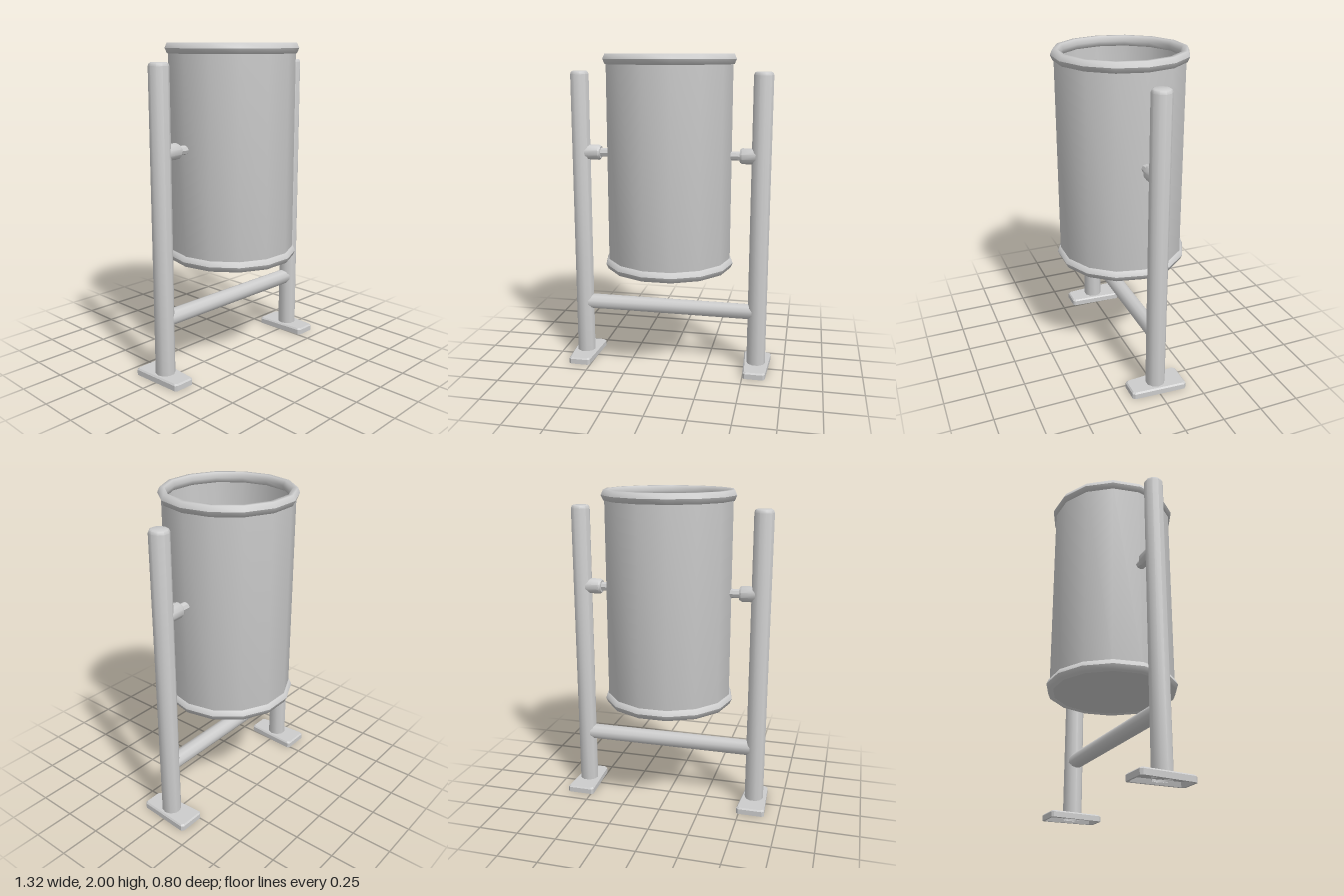
import * as THREE from 'three';
import { toCreasedNormals } from 'three/addons/utils/BufferGeometryUtils.js';

const POST_X = 0.573;

export function createModel() {
  const model = new THREE.Group();
  const grey = new THREE.MeshStandardMaterial({ color: 0xcccccc });
  const greyDouble = new THREE.MeshStandardMaterial({ color: 0xcccccc, side: THREE.DoubleSide });

  function add(name, geometry, material = grey) {
    const mesh = new THREE.Mesh(geometry, material);
    mesh.name = name;
    model.add(mesh);
    return mesh;
  }

  // Turned part with a corner on the x axis, edges sharper than 40 degrees kept
  function turned(profile, sides) {
    const points = profile.map(([r, y]) => new THREE.Vector2(r, y));
    return toCreasedNormals(new THREE.LatheGeometry(points, sides, Math.PI / 2), 0.7);
  }

  // Bucket shell: outer wall, inner wall and floor
  add('bucket', turned([
    [0, 0.677], [0.385, 0.677], [0.39, 0.70], [0.39, 1.97],
    [0.37, 1.97], [0.37, 0.70], [0, 0.70],
  ], 14), greyDouble);

  // Rolled rims with a six-sided section
  for (const [name, y] of [['topRim', 1.969], ['bottomRim', 0.705]]) {
    const profile = [];
    for (let i = 0; i <= 6; i++) {
      const a = (i / 6) * Math.PI * 2;
      profile.push(new THREE.Vector2(0.3825 + 0.0275 * Math.cos(a), y + 0.031 * Math.sin(a) / Math.sin(Math.PI / 3)));
    }
    add(name, new THREE.LatheGeometry(profile, 14, Math.PI / 2));
  }

  // Foot: tapered plate with cut corners and a recessed underside
  function footGeometry() {
    // outline at a given inset, wider at the back
    const ring = (inset, y) => {
      const back = 0.089 - inset, front = 0.07 - inset, d = 0.174 - inset, c = 0.013;
      return [
        [-front, d - c], [-front + c, d], [front - c, d], [front, d - c],
        [back, -d + c], [back - c, -d], [-back + c, -d], [-back, -d + c],
      ].map(([x, z]) => [x, y, z]);
    };
    const loops = [
      ring(0.022, 0.026), ring(0.012, 0), ring(0, 0), ring(0, 0.033), ring(0.008, 0.042),
    ];
    const positions = loops.flat(2);
    const index = [];
    for (let j = 0; j < loops.length - 1; j++) {
      for (let i = 0; i < 8; i++) {
        const a = j * 8 + i, b = j * 8 + (i + 1) % 8;
        index.push(a, b, b + 8, a, b + 8, a + 8);
      }
    }
    // top face and recess ceiling
    const top = (loops.length - 1) * 8;
    for (let i = 1; i < 7; i++) {
      index.push(top, top + i, top + i + 1, 0, i + 1, i);
    }
    const geometry = new THREE.BufferGeometry();
    geometry.setAttribute('position', new THREE.Float32BufferAttribute(positions, 3));
    geometry.setIndex(index);
    return toCreasedNormals(geometry, 0.5);
  }

  const post = turned([[0.058, 0.01], [0.06, 0.012], [0.06, 1.875], [0.054, 1.89], [0.045, 1.895], [0, 1.895]], 10);
  const foot = footGeometry();
  const socket = turned([[0, -0.005], [0.041, -0.005], [0.049, 0.008], [0.049, 0.105], [0, 0.105]], 10);
  const pin = turned([[0, 0], [0.028, 0], [0.028, 0.09], [0, 0.09]], 8);

  for (const [side, s] of [['left', 1], ['right', -1]]) {
    add(side + 'Post', post, greyDouble).position.x = s * POST_X;
    add(side + 'Foot', foot).position.x = s * POST_X;

    // Pivot joining the post to the bucket
    const holder = add(side + 'PivotSocket', socket);
    holder.position.set(s * 0.447, 1.388, 0);
    holder.rotation.z = -s * Math.PI / 2;
    const pivot = add(side + 'PivotPin', pin);
    pivot.position.set(s * 0.37, 1.388, 0);
    pivot.rotation.z = -s * Math.PI / 2;
  }

  // Lower bar between the posts
  const bar = turned([[0, -0.555], [0.05, -0.555], [0.05, 0.555], [0, 0.555]], 10);
  bar.rotateZ(Math.PI / 2);
  add('crossbar', bar).position.y = 0.386;

  return model;
}
